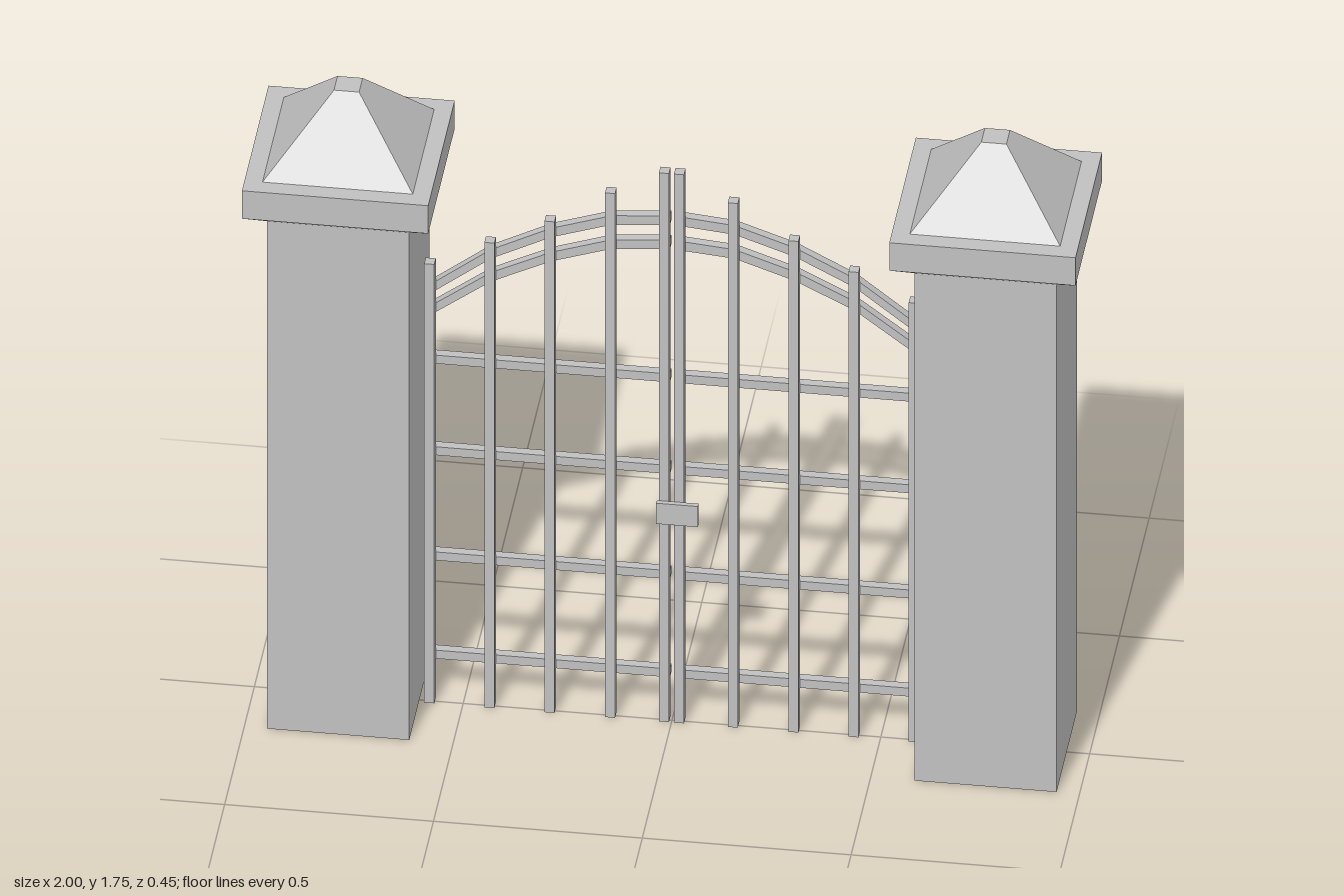
import * as THREE from 'three';

export function createModel() {
  const group = new THREE.Group();
  const grey = new THREE.MeshStandardMaterial({ color: 0xc0c0c0 });
  grey.name = 'grey';

  function add(parent, name, geometry, x = 0, y = 0, z = 0) {
    const mesh = new THREE.Mesh(geometry, grey);
    mesh.name = name;
    mesh.position.set(x, y, z);
    parent.add(mesh);
    return mesh;
  }

  // Box given by its lower and upper corners
  function box(parent, name, x0, x1, y0, y1, z0, z1) {
    return add(parent, name, new THREE.BoxGeometry(x1 - x0, y1 - y0, z1 - z0),
      (x0 + x1) / 2, (y0 + y1) / 2, (z0 + z1) / 2);
  }

  // Square frustum with flat faces
  function frustum(parent, name, halfBottom, halfTop, y0, y1) {
    const g = new THREE.CylinderGeometry(halfTop * Math.SQRT2, halfBottom * Math.SQRT2, y1 - y0, 4)
      .rotateY(Math.PI / 4).toNonIndexed();
    g.computeVertexNormals();
    return add(parent, name, g, 0, (y0 + y1) / 2, 0);
  }

  // Gate measurements: [x, top] of each bar, rail heights, arch line points
  const bars = [[0.018, 1.575], [0.147, 1.505], [0.292, 1.41], [0.436, 1.335], [0.58, 1.26]];
  const rails = [0.123, 0.405, 0.707, 0.97];
  const arches = {
    upperArch: [[0.007, 1.423], [0.147, 1.41], [0.292, 1.36], [0.436, 1.285], [0.58, 1.172]],
    lowerArch: [[0.007, 1.353], [0.147, 1.341], [0.292, 1.291], [0.436, 1.219], [0.58, 1.11]],
  };
  const barHalf = 0.012, railBack = -0.04, railFront = -0.017, barFront = 0.009;

  for (const side of [-1, 1]) {
    const label = side > 0 ? 'left' : 'right';

    // Stone pillar with flared cap
    const pillar = new THREE.Group();
    pillar.name = label + 'Pillar';
    pillar.position.x = side * 0.775;
    group.add(pillar);
    box(pillar, 'shaft', -0.17, 0.17, 0, 1.457, -0.17, 0.17);
    frustum(pillar, 'capFlare', 0.17, 0.223, 1.457, 1.495);
    box(pillar, 'capSlab', -0.223, 0.223, 1.495, 1.575, -0.223, 0.223);
    frustum(pillar, 'capPyramid', 0.18, 0.03, 1.575, 1.752);

    // Gate leaf
    const gate = new THREE.Group();
    gate.name = label + 'Gate';
    group.add(gate);
    for (const [x, top] of bars) {
      box(gate, 'uprightBar', side * x - barHalf, side * x + barHalf, 0, top, railFront, barFront);
    }
    for (const y of rails) {
      const ends = [side * 0.007, side * 0.58].sort((a, b) => a - b);
      box(gate, 'rail', ends[0], ends[1], y - barHalf, y + barHalf, railBack, railFront);
    }
    // Segmented arch rails
    for (const [name, line] of Object.entries(arches)) {
      const lower = line.map(([x, y]) => new THREE.Vector2(side * x, y - 0.013));
      const upper = line.map(([x, y]) => new THREE.Vector2(side * x, y + 0.013)).reverse();
      const shape = new THREE.Shape([...lower, ...upper]);
      const g = new THREE.ExtrudeGeometry(shape, { depth: railFront - railBack, bevelEnabled: false });
      add(gate, name, g, 0, 0, railBack);
    }
  }

  // Latch plate across the two leaves
  box(group, 'latch', -0.035, 0.065, 0.575, 0.634, barFront, 0.021);

  return group;
}
